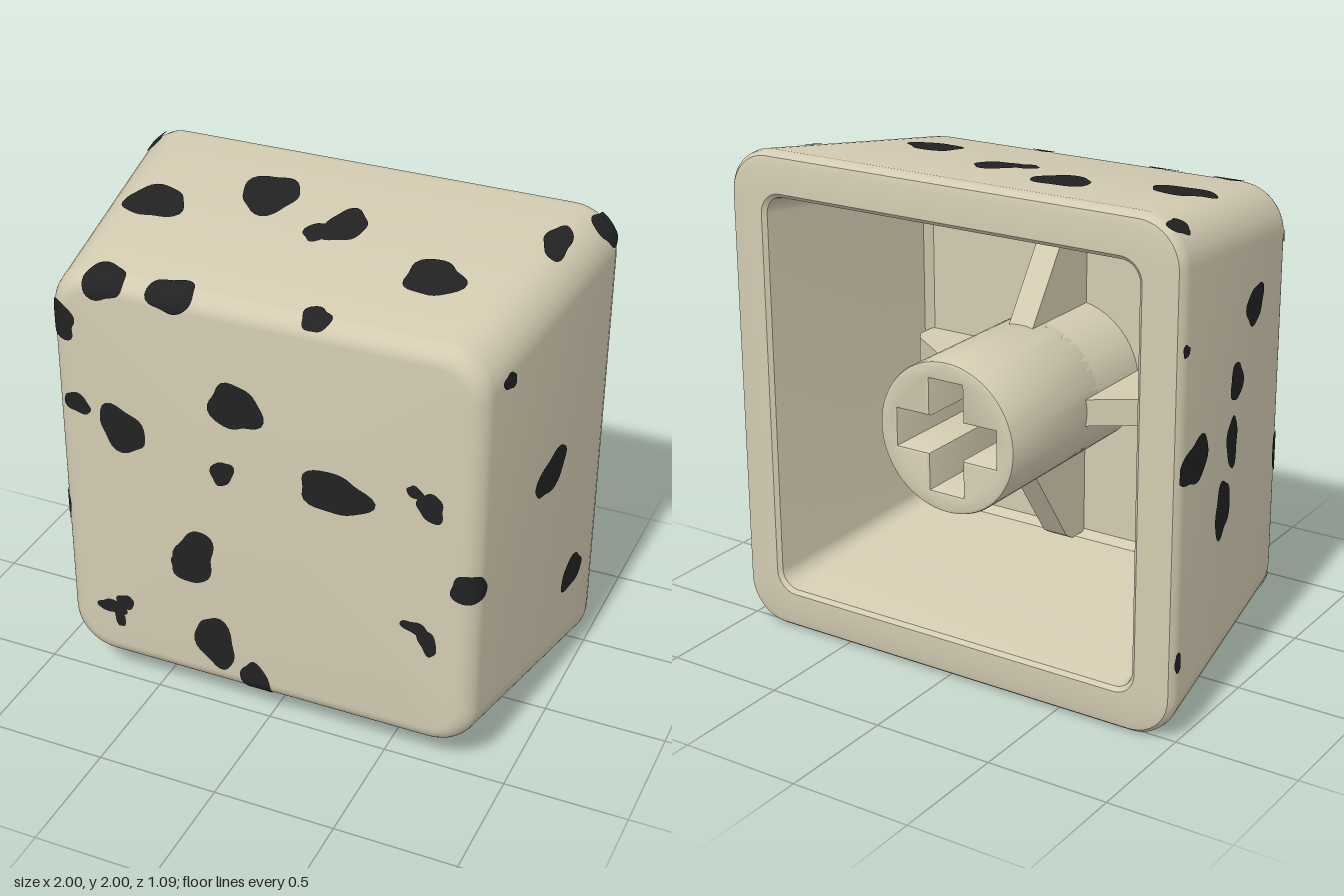
import * as THREE from 'three';
import { toCreasedNormals } from 'three/addons/utils/BufferGeometryUtils.js';

const FRONT = 0.545, BACK = -0.545, FLOOR = 0.39, FILLET = 0.07, CORNER = 0.18;
const halfAt = z => Math.min(1, 0.936 - 0.131 * z); // tapered half width

// Rounded-square ring, counter-clockwise seen from +z
function ring(half, radius, z, seg = 10) {
  const r = Math.min(radius, half), pts = [];
  for (let c = 0; c < 4; c++) {
    const cx = (c === 0 || c === 3 ? 1 : -1) * (half - r), cy = (c < 2 ? 1 : -1) * (half - r);
    for (let i = 0; i <= seg; i++) {
      const a = (c + i / seg) * Math.PI / 2;
      pts.push([cx + r * Math.cos(a), cy + r * Math.sin(a), z]);
    }
  }
  return pts;
}

function loft(rings) {
  const n = rings[0].length, index = [];
  for (let i = 0; i < rings.length - 1; i++) {
    for (let j = 0; j < n; j++) {
      const a = i * n + j, b = i * n + (j + 1) % n;
      index.push(a, b, a + n, b, b + n, a + n);
    }
  }
  const g = new THREE.BufferGeometry();
  g.setAttribute('position', new THREE.Float32BufferAttribute(rings.flat(2), 3));
  g.setIndex(index);
  return toCreasedNormals(g, 0.6);
}

// Distance to the outer skin, used to lay the spots onto it
function skin(p) {
  const h = halfAt(p.z) - CORNER;
  const qx = Math.abs(p.x) - h, qy = Math.abs(p.y) - h;
  const side = Math.min(Math.max(qx, qy), 0) + Math.hypot(Math.max(qx, 0), Math.max(qy, 0)) - CORNER;
  const a = side + FILLET, b = p.z - FRONT + FILLET;
  return Math.min(Math.max(a, b), 0) + Math.hypot(Math.max(a, 0), Math.max(b, 0)) - FILLET;
}
function skinNormal(p) {
  const e = 1e-3, n = new THREE.Vector3();
  for (const k of ['x', 'y', 'z']) {
    const u = p.clone(), v = p.clone();
    u[k] += e;
    v[k] -= e;
    n[k] = skin(u) - skin(v);
  }
  return n.normalize();
}
function toSkin(p, lift = 0) {
  for (let i = 0; i < 5; i++) p.addScaledVector(skinNormal(p), -skin(p));
  return p.addScaledVector(skinNormal(p), lift);
}

// Irregular blob wrapped over the skin
function spotGeometry(x, y, z, ru, rv, rot, seed) {
  const c = toSkin(new THREE.Vector3(x, y, z)), n = skinNormal(c);
  const u = Math.abs(n.x) > 0.75 ? new THREE.Vector3(0, 0, -Math.sign(n.x)) : new THREE.Vector3(1, 0, 0);
  u.addScaledVector(n, -u.dot(n)).normalize();
  const v = n.clone().cross(u);
  const RINGS = 7, SEG = 32, pos = [], index = [];
  for (let i = 0; i <= RINGS; i++) {
    for (let j = 0; j < SEG; j++) {
      const a = j / SEG * Math.PI * 2;
      const w = 0.98 + 0.08 * Math.sin(2 * a + seed * 1.7) + 0.09 * Math.sin(3 * a + seed * 2.9) + 0.05 * Math.sin(5 * a + seed * 4.1);
      const s = w * Math.max(i / RINGS, 0.001);
      const du = Math.cos(a) * ru * s, dv = Math.sin(a) * rv * s;
      const p = c.clone()
        .addScaledVector(u, du * Math.cos(rot) - dv * Math.sin(rot))
        .addScaledVector(v, du * Math.sin(rot) + dv * Math.cos(rot));
      toSkin(p, 0.004);
      p.z = Math.max(p.z, -0.535);
      pos.push(p.x, p.y, p.z);
      if (i < RINGS) {
        const k = i * SEG + j, m = i * SEG + (j + 1) % SEG;
        index.push(k, k + SEG, m, m, k + SEG, m + SEG);
      }
    }
  }
  const g = new THREE.BufferGeometry();
  g.setAttribute('position', new THREE.Float32BufferAttribute(pos, 3));
  g.setIndex(index);
  g.computeVertexNormals();
  return g;
}

// Spots: two position values on the face, two radii, rotation
const frontSpots = [
  [-0.10, 0.45, 0.105, 0.105, 0.1], [-0.58, 0.24, 0.11, 0.09, -0.5], [-0.77, 0.31, 0.065, 0.04, -0.4],
  [-0.16, 0.15, 0.045, 0.06, -0.3], [0.30, 0.18, 0.14, 0.095, 0], [0.68, 0.22, 0.055, 0.06, 0],
  [0.62, 0.27, 0.04, 0.025, -0.6], [0.63, -0.33, 0.055, 0.03, -0.2], [0.68, -0.38, 0.035, 0.07, 0.3],
  [-0.29, -0.27, 0.09, 0.12, -0.3], [-0.32, -0.33, 0.08, 0.06, 0], [-0.67, -0.62, 0.065, 0.035, 0],
  [-0.61, -0.58, 0.04, 0.035, 0.4], [-0.64, -0.66, 0.025, 0.05, 0.2], [-0.21, -0.66, 0.085, 0.125, 0.4],
];
const edgeSpots = [
  [0.84, -0.11, 0.53, 0.09, 0.07, 0], [-0.03, -0.82, 0.54, 0.065, 0.12, 0.2], [-0.64, 0.85, 0.52, 0.09, 0.1, 0],
  [-0.36, 0.85, 0.52, 0.09, 0.095, 0], [0.205, 0.87, 0.50, 0.055, 0.065, 0], [-0.83, 0.66, 0.53, 0.1, 0.07, -0.4],
  [-0.87, -0.19, 0.50, 0.05, 0.085, 0], [-0.83, -0.81, 0.46, 0.11, 0.05, -0.7],
  [0.95, 0.92, -0.49, 0.07, 0.08, 0], [-0.94, 0.96, -0.46, 0.04, 0.065, 0], [-0.89, -0.97, -0.45, 0.08, 0.06, 0],
];
const topSpots = [
  [-0.69, 0.01, 0.12, 0.12, 0], [-0.29, -0.18, 0.12, 0.135, 0], [0.07, -0.07, 0.085, 0.11, 0],
  [-0.01, 0.0, 0.05, 0.07, 0], [0.51, 0.14, 0.11, 0.12, 0], [0.85, -0.24, 0.055, 0.1, 0],
];
const bottomSpots = [
  [-0.44, 0.21, 0.08, 0.065, 0], [-0.53, 0.16, 0.06, 0.045, 0], [0.60, 0.38, 0.07, 0.05, 0],
  [-0.06, -0.25, 0.045, 0.04, 0], [0.57, -0.38, 0.11, 0.085, 0],
];
const rightSpots = [[0.36, 0.70, 0.05, 0.035, -0.3], [-0.04, 0.10, 0.135, 0.08, 0.4], [-0.3, -0.52, 0.1, 0.07, 0]];
const leftSpots = [
  [0.18, 0.50, 0.09, 0.08, 0], [0.01, 0.25, 0.065, 0.08, 0], [-0.02, 0.02, 0.06, 0.1, 0],
  [-0.1, -0.22, 0.08, 0.11, 0], [-0.4, 0.08, 0.13, 0.09, 0], [-0.51, 0.53, 0.025, 0.025, 0], [-0.51, -0.67, 0.025, 0.04, 0],
];

export function createModel() {
  const model = new THREE.Group();
  model.name = 'keycap';
  const body = new THREE.Group();
  body.name = 'body';
  body.position.y = 1;
  model.add(body);
  const cream = new THREE.MeshStandardMaterial({ color: 0xd3cbb1 });
  cream.name = 'cream';
  const black = new THREE.MeshStandardMaterial({ color: 0x222222 });
  black.name = 'black';
  const add = (geometry, material, name, parent = body) => {
    const mesh = new THREE.Mesh(geometry, material);
    mesh.name = name;
    parent.add(mesh);
    return mesh;
  };

  // Hollow shell: cavity floor, cavity wall, rim, outer wall, front face
  const rings = [
    ring(0.001, 0.001, FLOOR), ring(0.70, 0.04, FLOOR), ring(0.73, 0.06, FLOOR - 0.03),
    ring(0.82, 0.07, -0.5), ring(0.826, 0.076, -0.53), ring(0.842, 0.09, BACK),
    ring(0.955, 0.135, BACK), ring(0.982, 0.165, -0.538), ring(0.996, 0.176, -0.52), ring(1, CORNER, -0.49),
  ];
  for (let i = 0; i <= 8; i++) {
    const t = i / 8 * Math.PI / 2, z = FRONT - FILLET * (1 - Math.sin(t));
    const inset = FILLET * (1 - Math.cos(t));
    rings.push(ring(halfAt(z) - inset, CORNER - inset, z));
  }
  rings.push(ring(0.001, 0.001, FRONT));
  add(loft(rings), cream, 'shell');

  // Stem with a cross-shaped socket
  const disc = new THREE.Shape().absarc(0, 0, 0.305, 0, Math.PI * 2, false);
  const L = 0.225, W = 0.075;
  disc.holes.push(new THREE.Path([
    [L, W], [L, -W], [W, -W], [W, -L], [-W, -L], [-W, -W],
    [-L, -W], [-L, W], [-W, W], [-W, L], [W, L], [W, W],
  ].map(([x, y]) => new THREE.Vector2(x, y))));
  const stem = new THREE.ExtrudeGeometry(disc, {
    depth: 0.6, curveSegments: 32, bevelThickness: 0.012, bevelSize: 0.012, bevelOffset: -0.012, bevelSegments: 2,
  });
  add(toCreasedNormals(stem, 0.5), cream, 'stem').position.z = -0.52;
  const base = add(new THREE.CylinderGeometry(0.305, 0.305, FLOOR - 0.05, 48), cream, 'stemBase');
  base.rotation.x = Math.PI / 2;
  base.position.z = (FLOOR + 0.05) / 2;

  // Four tapered ribs bracing the stem against the cavity floor
  const rib = new THREE.Shape([[0.2, FLOOR], [0.2, -0.02], [0.29, -0.02], [0.68, 0.25], [0.71, 0.3], [0.71, FLOOR]]
    .map(([x, y]) => new THREE.Vector2(x, y)));
  const ribGeometry = new THREE.ExtrudeGeometry(rib, { depth: 0.11, bevelEnabled: false });
  ribGeometry.translate(0, 0, -0.055).rotateX(Math.PI / 2);
  for (let i = 0; i < 4; i++) add(ribGeometry, cream, 'rib').rotation.z = i * Math.PI / 2;

  // Dark spots scattered over the outer skin
  const spots = new THREE.Group();
  spots.name = 'spots';
  body.add(spots);
  const all = [
    ...frontSpots.map(([x, y, ...s]) => [x, y, FRONT, ...s]),
    ...edgeSpots,
    ...topSpots.map(([x, z, ...s]) => [x, halfAt(z), z, ...s]),
    ...bottomSpots.map(([x, z, ...s]) => [x, -halfAt(z), z, ...s]),
    ...rightSpots.map(([z, y, ...s]) => [halfAt(z), y, z, ...s]),
    ...leftSpots.map(([z, y, ...s]) => [-halfAt(z), y, z, ...s]),
  ];
  all.forEach((s, i) => add(spotGeometry(...s, i + 1), black, 'spot', spots));
  return model;
}
